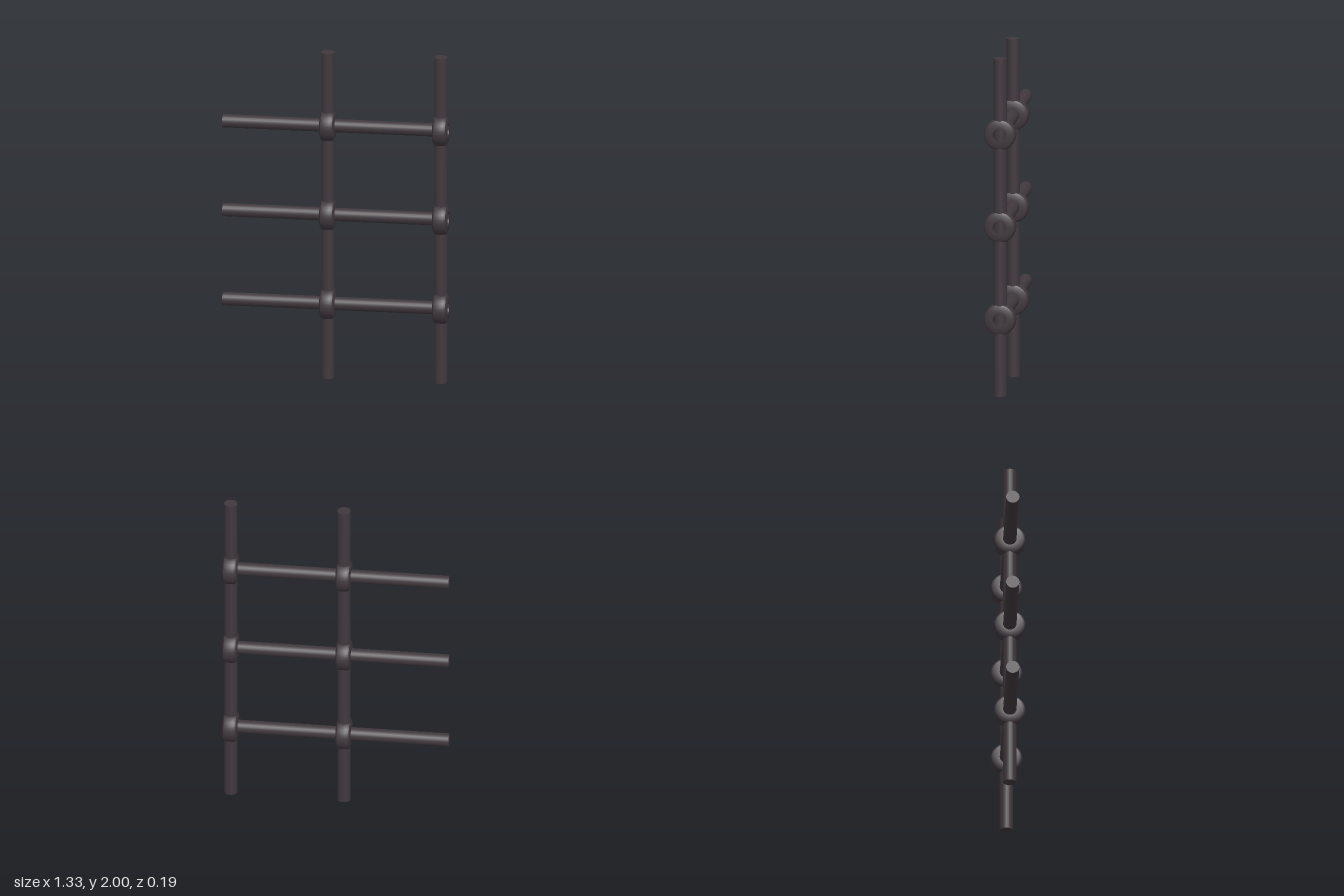
import * as THREE from 'three';
import { toCreasedNormals } from 'three/addons/utils/BufferGeometryUtils.js';

const ROD_RADIUS = 0.039;
const POLE_X = [-0.045, 0.62];
const RAIL_Y = [0.455, 1.003, 1.55];
const RAIL_START = -0.663;

export function createModel() {
  const group = new THREE.Group();
  const material = new THREE.MeshStandardMaterial({ color: 0x40383d });

  const add = (geometry, name, x, y) => {
    const mesh = new THREE.Mesh(geometry, material);
    mesh.name = name;
    mesh.position.set(x, y, 0);
    group.add(mesh);
  };

  // Upright poles
  const poleGeometry = new THREE.CylinderGeometry(ROD_RADIUS, ROD_RADIUS, 2, 24);
  for (const x of POLE_X) add(poleGeometry, 'pole', x, 1);

  // Horizontal rails, ending inside the outer collars
  const railEnd = POLE_X[1];
  const railGeometry = new THREE.CylinderGeometry(ROD_RADIUS, ROD_RADIUS, railEnd - RAIL_START, 24);
  railGeometry.rotateZ(Math.PI / 2);
  for (const y of RAIL_Y) add(railGeometry, 'rail', (RAIL_START + railEnd) / 2, y);

  // Ring collars with chamfered rims at every crossing
  const profile = [
    [0.04, -0.043], [0.074, -0.043], [0.087, -0.035], [0.093, -0.02],
    [0.093, 0.02], [0.087, 0.035], [0.074, 0.043], [0.04, 0.043], [0.04, -0.043],
  ].map(([r, h]) => new THREE.Vector2(r, h));
  const collarGeometry = toCreasedNormals(new THREE.LatheGeometry(profile, 32), 0.6);
  collarGeometry.rotateZ(Math.PI / 2);
  for (const x of POLE_X) for (const y of RAIL_Y) add(collarGeometry, 'collar', x, y);

  return group;
}
